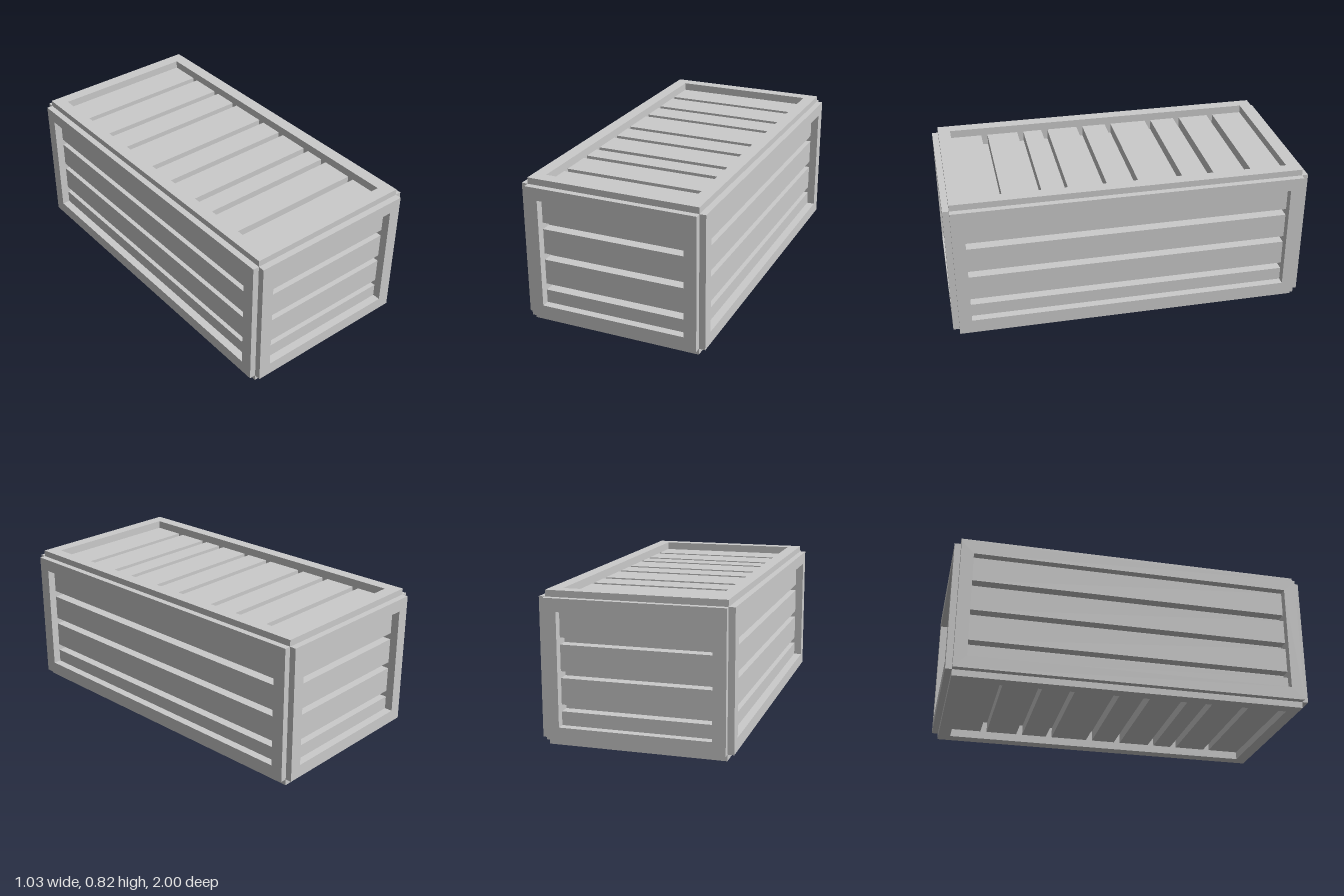
import * as THREE from 'three';

const FRAME = 0.07;    // width of the frame bars
const DEPTH = 0.105;   // depth of a frame, down to the core
const RECESS = 0.045;  // planks sit this far behind the frame face
const GAP = 0.037;     // groove between planks

const material = new THREE.MeshStandardMaterial({ color: 0xcccccc, flatShading: true });

function addMesh(group, geometry, name) {
  const mesh = new THREE.Mesh(geometry, material);
  mesh.name = name;
  group.add(mesh);
  return mesh;
}

// A framed panel in the xy plane, outer face at z = 0; cuts are groove centres along y
function makePanel(name, w, h, cuts) {
  const panel = new THREE.Group();
  panel.name = name;
  const rect = (Type, a, b) => {
    const path = new Type();
    path.moveTo(-a, -b).lineTo(a, -b).lineTo(a, b).lineTo(-a, b).closePath();
    return path;
  };
  const a = w / 2 - FRAME, b = h / 2 - FRAME;
  const shape = rect(THREE.Shape, w / 2, h / 2);
  shape.holes.push(rect(THREE.Path, a, b));
  const frame = new THREE.ExtrudeGeometry(shape, { depth: DEPTH, bevelEnabled: false });
  addMesh(panel, frame.translate(0, 0, -DEPTH), 'frame');

  // planks fill the opening between the grooves
  const sorted = [...cuts].sort((p, q) => p - q);
  for (let i = 0; i <= sorted.length; i++) {
    const low = i === 0 ? -b : sorted[i - 1] + GAP / 2;
    const high = i === sorted.length ? b : sorted[i] - GAP / 2;
    const plank = addMesh(panel, new THREE.BoxGeometry(2 * a, high - low, DEPTH - RECESS), 'plank');
    plank.position.set(0, (low + high) / 2, -(DEPTH + RECESS) / 2);
  }
  return panel;
}

export function createModel() {
  const crate = new THREE.Group();
  crate.name = 'crate';
  const midY = 0.41, X = 0.515, Z = 1;
  const wallH = 0.75, endW = 0.96, sideW = 1.93;
  const wallCuts = [0.198, 0.377, 0.555].map(y => y - midY);
  const lidCuts = [-0.7, -0.485, -0.305, -0.055, 0.12, 0.335, 0.48, 0.695];

  // four walls
  for (let i = 0; i < 4; i++) {
    const isEnd = i % 2 === 0;
    const angle = i * Math.PI / 2;
    const name = ['frontPanel', 'leftPanel', 'backPanel', 'rightPanel'][i];
    const panel = makePanel(name, isEnd ? endW : sideW, wallH, wallCuts);
    panel.rotation.y = angle;
    panel.position.set(Math.sin(angle) * X, midY, Math.cos(angle) * Z);
    crate.add(panel);
  }

  // lid and floor
  const lid = makePanel('topPanel', endW, sideW, lidCuts.map(z => -z));
  lid.rotation.x = -Math.PI / 2;
  lid.position.y = 2 * midY;
  const floor = makePanel('bottomPanel', endW, sideW, lidCuts);
  floor.rotation.x = Math.PI / 2;
  crate.add(lid, floor);

  // solid core closing the bottoms of the grooves
  const core = new THREE.BoxGeometry(2 * (X - DEPTH), 2 * (midY - DEPTH), 2 * (Z - DEPTH));
  addMesh(crate, core, 'core').position.y = midY;
  return crate;
}
